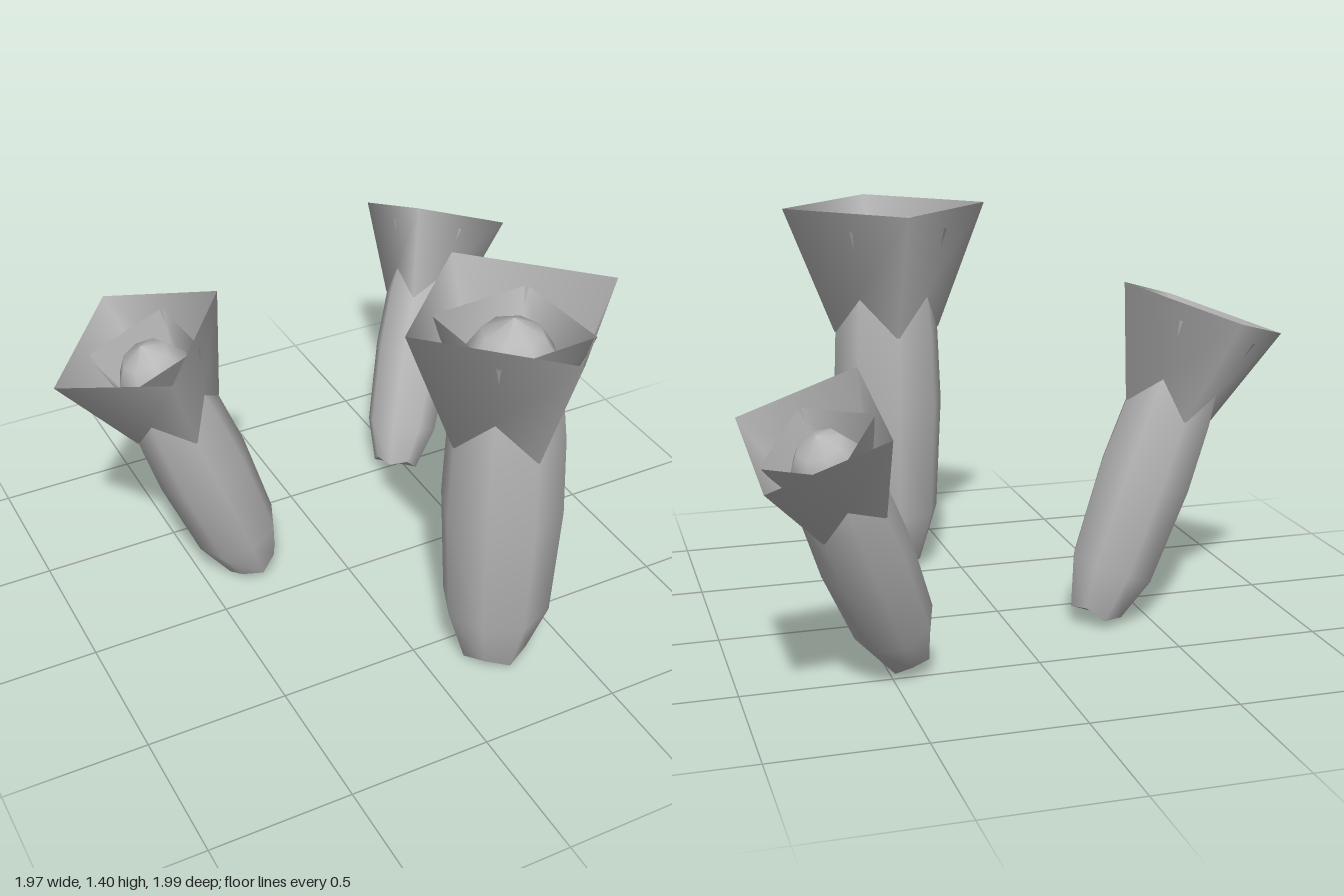
import * as THREE from 'three';

const grey = new THREE.MeshStandardMaterial({ color: 0xb8b8b8, side: THREE.DoubleSide });
grey.name = 'plain grey';

// Lift the diagonal corners of the bottom rim so the edge zigzags
function notchRim(geometry) {
  const p = geometry.attributes.position;
  for (let i = 0; i < p.count; i++) {
    const x = Math.abs(p.getX(i)), z = Math.abs(p.getZ(i));
    if (p.getY(i) < 0.02 && x > 0.04 && z > 0.04) p.setY(i, 0.037);
  }
  return geometry;
}

function mesh(name, geometry) {
  const m = new THREE.Mesh(geometry, grey);
  m.name = name;
  return m;
}

// Four-sided open cup between two heights
function cup(topRadius, bottomRadius, bottom, top, turn) {
  const g = new THREE.CylinderGeometry(topRadius, bottomRadius, top - bottom, 4, 1, true);
  return g.rotateY(turn).translate(0, (top + bottom) / 2, 0);
}

function createStalk(name) {
  const stalk = new THREE.Group();
  stalk.name = name;

  // Eight-sided body, bulging in the middle and domed at the top
  const profile = [
    [0.118, 0.01], [0.187, 0.23], [0.208, 0.65], [0.196, 0.94],
    [0.18, 1.07], [0.157, 1.22], [0.1, 1.31], [0, 1.36],
  ].map(([r, y]) => new THREE.Vector2(r, y));
  stalk.add(mesh('body', notchRim(new THREE.LatheGeometry(profile, 8))));

  // Underside
  const base = new THREE.CircleGeometry(0.118, 8).rotateX(Math.PI / 2).translate(0, 0.01, 0);
  stalk.add(mesh('underside', notchRim(base)));

  // Flared square cup, and a smaller one inside it turned across its corners
  stalk.add(mesh('outerCup', cup(0.382, 0.2, 0.935, 1.4, 0)));
  stalk.add(mesh('innerCup', cup(0.259, 0.13, 1.0, 1.33, Math.PI / 4 + 0.06)));
  return stalk;
}

export function createModel() {
  const model = new THREE.Group();
  model.name = 'stalkCluster';

  const tall = createStalk('tallStalk');
  tall.position.set(0.255, 0, 0.615);

  const leaning = createStalk('leaningStalk');
  leaning.position.set(-0.305, 0.024, -0.187);
  leaning.rotation.z = 0.342;
  leaning.scale.setScalar(0.82);

  const small = createStalk('smallStalk');
  small.position.set(0.435, 0.05, -0.438);
  small.rotation.set(-0.52, -Math.PI / 4, 0, 'YXZ');
  small.scale.setScalar(0.727);

  model.add(tall, leaning, small);
  return model;
}
